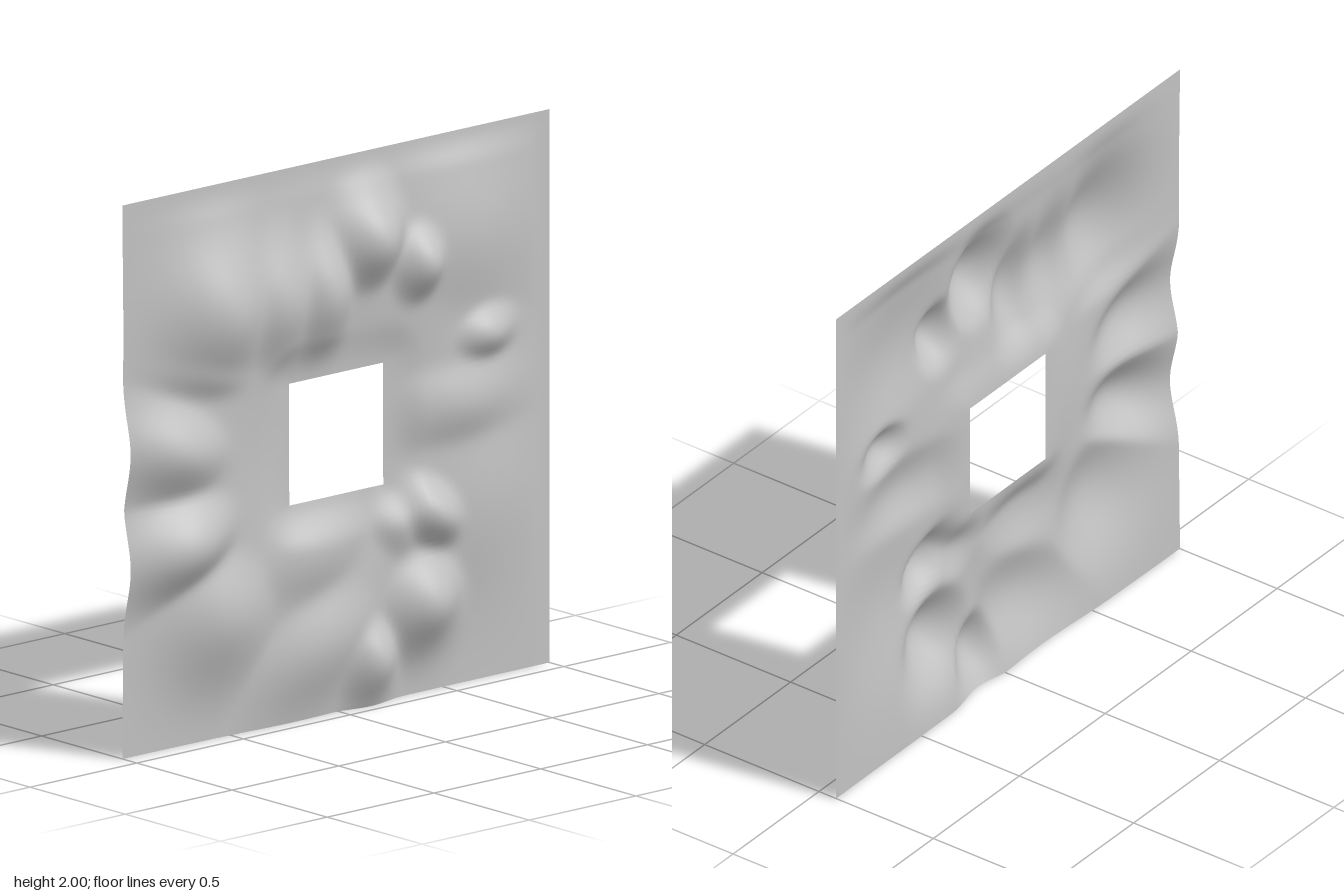
import * as THREE from 'three';

// Raised lobes: centre x, y, height, spread along, spread across, rotation
const LOBES = [
  [-0.58, 1.54, 0.142, 0.16, 0.18, 0],
  [-0.31, 1.53, 0.110, 0.13, 0.16, 0],
  [-0.10, 1.53, 0.120, 0.10, 0.15, 0],
  [0.12, 1.69, 0.143, 0.11, 0.12, 0.15],
  [0.35, 1.57, 0.130, 0.085, 0.10, 0],
  [0.55, 1.62, 0.075, 0.22, 0.22, 0],
  [0.66, 1.26, 0.092, 0.10, 0.07, 0],
  [0.55, 1.03, 0.080, 0.19, 0.12, 0],
  [-0.62, 1.33, 0.068, 0.16, 0.07, -0.3],
  [-0.77, 1.07, 0.110, 0.17, 0.11, -0.25],
  [-0.75, 0.73, 0.135, 0.17, 0.11, 0.3],
  [-0.57, 0.45, 0.105, 0.17, 0.17, 0],
  [-0.15, 0.60, 0.075, 0.20, 0.14, 0.25],
  [-0.10, 0.27, 0.085, 0.22, 0.14, 0.4],
  [0.13, 0.17, 0.112, 0.085, 0.11, 0],
  [0.37, 0.34, 0.136, 0.12, 0.12, 0],
  [0.41, 0.65, 0.122, 0.12, 0.08, -0.6],
  [0.26, 0.64, 0.070, 0.08, 0.11, 0.3],
  [0.62, 0.66, 0.055, 0.19, 0.24, 0],
];
const BASE = -0.075, HOLE = 0.22, SEGMENTS = 100, POWER = 6;
const step = THREE.MathUtils.smoothstep;

// Lobes meet in creases, so blend them with a sharp soft maximum
function relief(x, y) {
  // Low round swell filling the valleys between the lobes
  const ring = (Math.hypot(x, y - 1) - 0.58) / 0.2;
  let sum = Math.pow(0.04 * Math.exp(-0.5 * ring * ring), POWER);
  for (const [cx, cy, h, sx, sy, a] of LOBES) {
    const dx = x - cx, dy = y - cy;
    const u = (dx * Math.cos(a) + dy * Math.sin(a)) / sx;
    const v = (dy * Math.cos(a) - dx * Math.sin(a)) / sy;
    sum += Math.pow(h * Math.exp(-0.5 * (u * u + v * v)), POWER);
  }
  // Settle flat at the window rim and at the top and right edges
  const rim = Math.hypot(Math.max(Math.abs(x) - HOLE, 0), Math.max(Math.abs(y - 1) - HOLE, 0));
  const fade = step(rim, -0.03, 0.16) * step(2 - y, 0, 0.12) * step(1 - x, 0, 0.12);
  return BASE + Math.pow(sum, 1 / POWER) * fade;
}

export function createModel() {
  const group = new THREE.Group();
  const gray = new THREE.MeshStandardMaterial({ color: 0xc2c2c2, side: THREE.DoubleSide });
  gray.name = 'stone gray';

  // Square sheet pushed into relief
  const sheet = new THREE.PlaneGeometry(2, 2, SEGMENTS, SEGMENTS).translate(0, 1, 0);
  const pos = sheet.attributes.position;
  for (let i = 0; i < pos.count; i++) pos.setZ(i, relief(pos.getX(i), pos.getY(i)));

  // Drop the triangles inside the square window
  const index = sheet.index.array, kept = [];
  for (let i = 0; i < index.length; i += 3) {
    const tri = [index[i], index[i + 1], index[i + 2]];
    const cx = tri.reduce((s, k) => s + pos.getX(k), 0) / 3;
    const cy = tri.reduce((s, k) => s + pos.getY(k), 0) / 3;
    if (Math.max(Math.abs(cx), Math.abs(cy - 1)) > HOLE) kept.push(...tri);
  }
  sheet.setIndex(kept);
  sheet.computeVertexNormals();

  const panel = new THREE.Mesh(sheet, gray);
  panel.name = 'reliefPanel';
  group.add(panel);
  return group;
}
